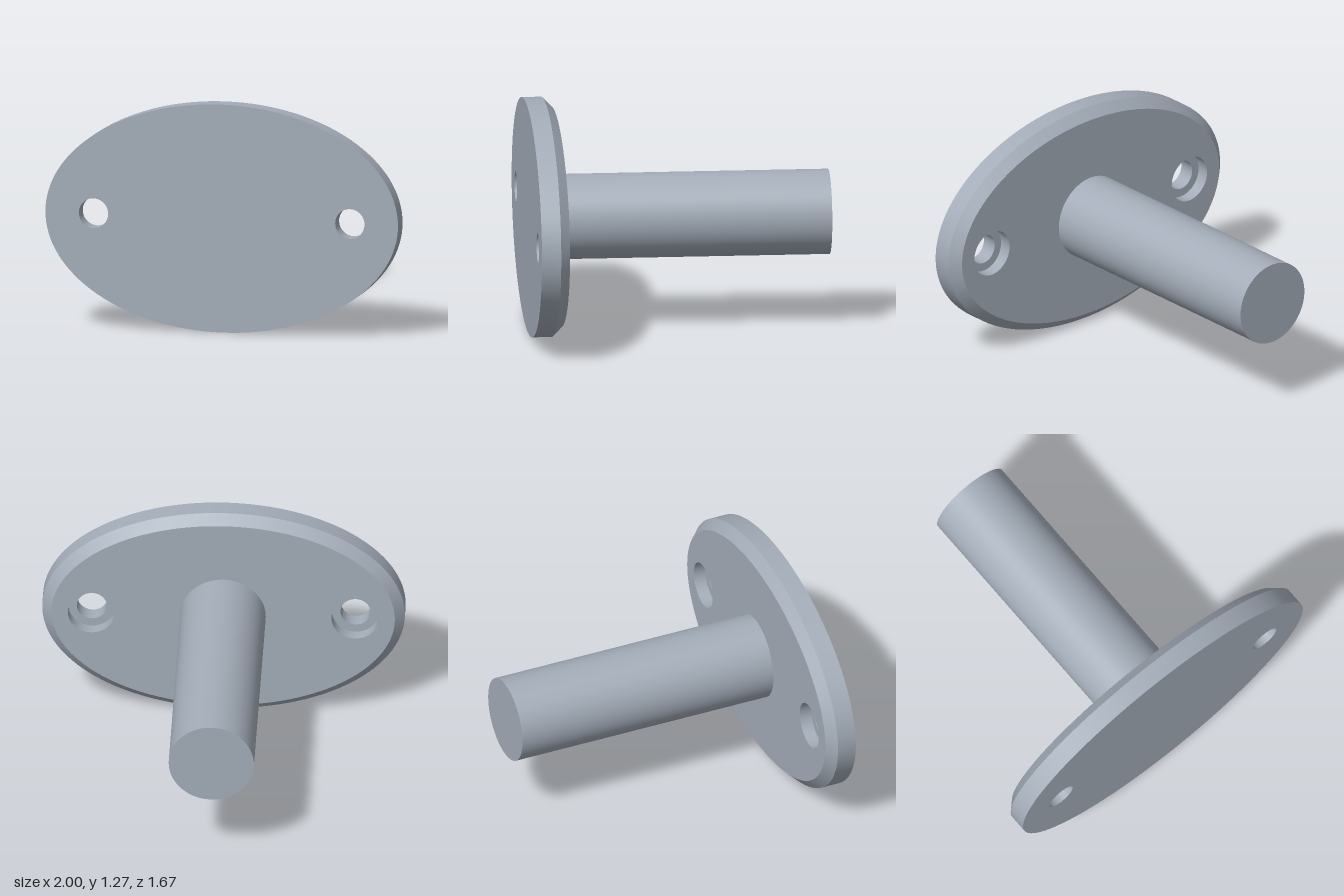
import * as THREE from 'three';
import { toCreasedNormals, mergeGeometries } from 'three/addons/utils/BufferGeometryUtils.js';

const CY = 0.6375;                              // height of the shared axis
const A = 1, B = 0.6375;                        // plate half axes
const BACK = 0.675, CHAMFER = 0.728, FRONT = 0.835, STEP = 0.745;
const HOLE_X = 0.727, HOLE_R = 0.083, BORE_R = 0.13;

// Ellipse outline, moved inwards along its normals by inset
function ellipse(a, b, inset = 0, cx = 0, n = 128) {
  return Array.from({ length: n }, (_, i) => {
    const t = (i / n) * Math.PI * 2, c = Math.cos(t), s = Math.sin(t);
    const len = Math.hypot(c / a, s / b);
    return new THREE.Vector2(cx + a * c - (inset * c) / a / len, b * s - (inset * s) / b / len);
  });
}

// Band of quads joining two loops; faces outwards when the first lies behind
function band(loopA, zA, loopB, zB) {
  const n = loopA.length, pos = [], index = [];
  loopA.forEach((p, i) => pos.push(p.x, p.y, zA, loopB[i].x, loopB[i].y, zB));
  for (let i = 0; i < n; i++) {
    const a = 2 * i, b = 2 * ((i + 1) % n);
    index.push(a, b, b + 1, a, b + 1, a + 1);
  }
  const g = new THREE.BufferGeometry();
  g.setAttribute('position', new THREE.Float32BufferAttribute(pos, 3));
  g.setIndex(index);
  return toCreasedNormals(g, 0.6);
}

// Flat elliptical face with two screw openings
function face(outline, radius) {
  const shape = new THREE.Shape(outline);
  for (const x of [-HOLE_X, HOLE_X]) {
    shape.holes.push(new THREE.Path(ellipse(radius, radius, 0, x, 48).reverse()));
  }
  return new THREE.ShapeGeometry(shape);
}

export function createModel() {
  const group = new THREE.Group();
  const steel = new THREE.MeshStandardMaterial({ color: 0xa3acb8 });
  steel.name = 'steel grey';

  const add = (name, geometry) => {
    const mesh = new THREE.Mesh(geometry, steel);
    mesh.name = name;
    mesh.position.y = CY;
    group.add(mesh);
  };

  // Mounting plate: flat faces, rim and rear chamfer
  const outer = ellipse(A, B), inner = ellipse(A, B, 0.053);
  add('plateFront', face(outer, HOLE_R).translate(0, 0, FRONT));
  add('plateBack', face(inner, BORE_R).rotateY(Math.PI).translate(0, 0, BACK));
  add('plateRim', band(outer, CHAMFER, outer, FRONT));
  add('plateChamfer', band(inner, BACK, outer, CHAMFER));

  // Counterbored screw holes, open through the plate
  for (const [side, x] of [['left', HOLE_X], ['right', -HOLE_X]]) {
    const hole = ellipse(HOLE_R, HOLE_R, 0, x, 48);
    const bore = ellipse(BORE_R, BORE_R, 0, x, 48);
    add(side + 'ScrewHole', mergeGeometries([
      band(hole, FRONT, hole, STEP),
      band(hole, STEP, bore, STEP),
      band(bore, STEP, bore, BACK),
    ]));
  }

  // Round post behind the plate
  const postBack = -0.835, length = BACK - postBack;
  add('post', new THREE.CylinderGeometry(0.235, 0.235, length, 96)
    .rotateX(Math.PI / 2).translate(0, 0, (BACK + postBack) / 2));

  return group;
}
